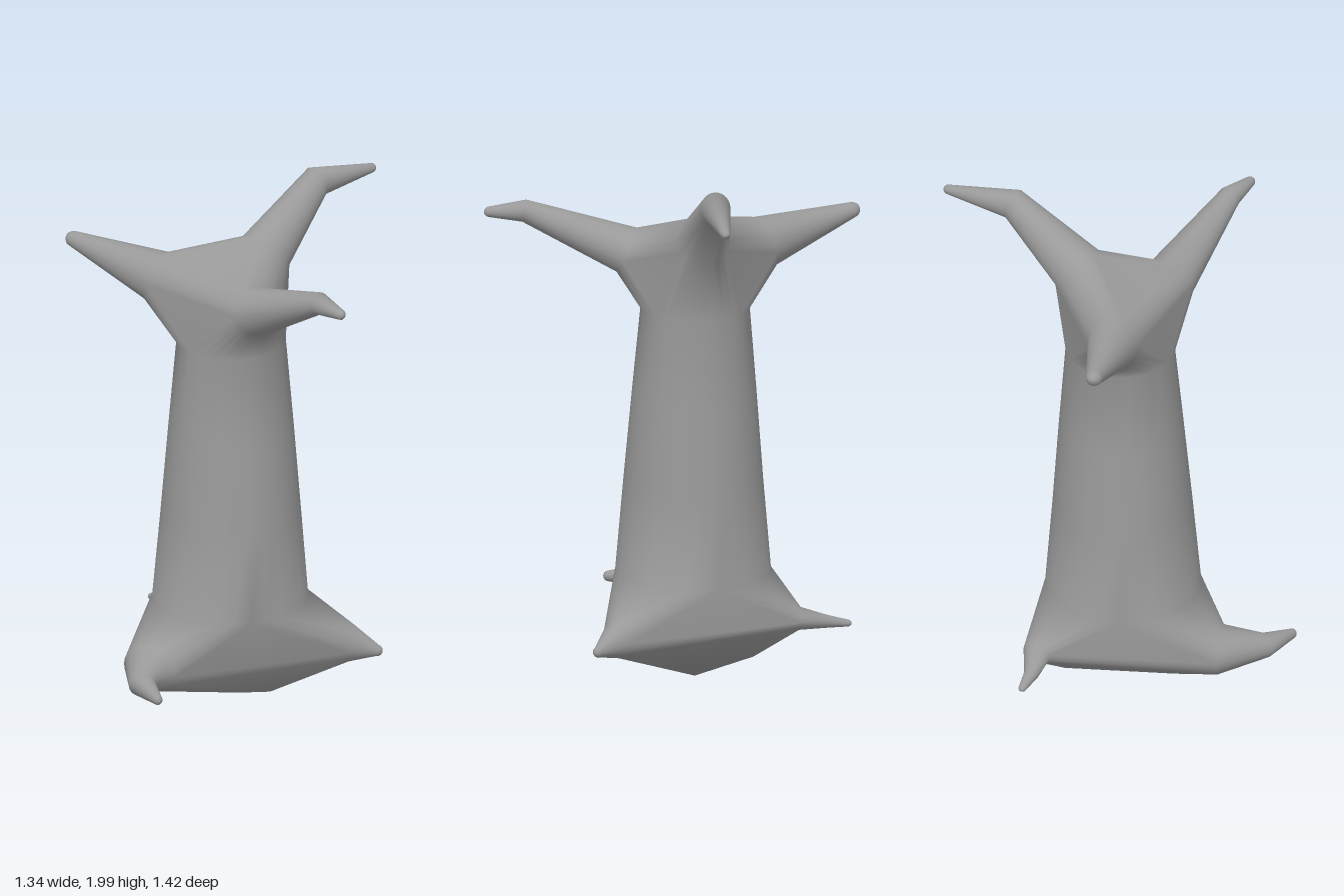
import * as THREE from 'three';
import { ConvexGeometry } from 'three/addons/geometries/ConvexGeometry.js';
import { mergeVertices } from 'three/addons/utils/BufferGeometryUtils.js';

const V = (x, y, z) => new THREE.Vector3(x, y, z);
const SIDES = 28;

// Elliptical ring about a centre, square to a direction
function makeRing(center, dir, w, h) {
  const u = V(0, 1, 0).cross(dir);
  if (u.length() < 1e-6) u.set(1, 0, 0);
  u.normalize();
  const v = dir.clone().cross(u);
  const points = Array.from({ length: SIDES }, (_, j) => {
    const a = j / SIDES * Math.PI * 2;
    return center.clone().addScaledVector(u, w * Math.cos(a)).addScaledVector(v, h * Math.sin(a));
  });
  return { center, dir, points };
}

// Triangles (as a list of corners) between successive rings
function loft(rings) {
  const tris = [];
  for (let i = 0; i < rings.length - 1; i++) {
    const a = rings[i].points, b = rings[i + 1].points;
    for (let j = 0; j < SIDES; j++) {
      const k = (j + 1) % SIDES;
      tris.push(a[j], a[k], b[k], a[j], b[k], b[j]);
    }
  }
  return tris;
}

// Hull joining several rings, left open where each ring continues into a limb
function junction(rings, extra) {
  const pos = new ConvexGeometry([...rings.flatMap(r => r.points), ...extra]).attributes.position;
  const tris = [];
  for (let i = 0; i < pos.count; i += 3) {
    const tri = [0, 1, 2].map(k => V(0, 0, 0).fromBufferAttribute(pos, i + k));
    const inRing = r => tri.every(p => Math.abs(p.clone().sub(r.center).dot(r.dir)) < 1e-5);
    if (!rings.some(inRing)) tris.push(...tri);
  }
  return tris;
}

// Rings of a tapering limb leaving a hub; stations are [x, y, z, half width, half height]
function limbRings(hub, stations) {
  const pts = [hub, ...stations.map(s => V(s[0], s[1], s[2]))];
  const dirs = pts.slice(1).map((p, i) => p.clone().sub(pts[i]).normalize());
  const rings = stations.map((s, i) => {
    const dir = dirs[i].clone().add(dirs[Math.min(i + 1, dirs.length - 1)]).normalize();
    return makeRing(pts[i + 1], dir, s[3], s[4]);
  });
  // rounded tip
  const end = dirs[dirs.length - 1], [w, h] = stations[stations.length - 1].slice(3);
  for (const a of [0.5, 1, 1.35, 1.54]) {
    const c = pts[pts.length - 1].clone().addScaledVector(end, Math.sin(a) * w);
    rings.push(makeRing(c, end, w * Math.cos(a), h * Math.cos(a)));
  }
  return rings;
}

// Trunk stations, bottom to top: [x, y, z, radius]
const TRUNK = [
  [-0.08, 0.41, -0.06, 0.291],
  [-0.077, 0.75, -0.06, 0.262],
  [-0.073, 1.1, -0.063, 0.233],
  [-0.07, 1.43, -0.066, 0.204],
];

const BRANCHES = {
  leftBranch: [
    [0.11, 1.735, -0.075, 0.1, 0.105],
    [0.375, 1.94, -0.09, 0.056, 0.06],
    [0.65, 1.92, -0.095, 0.018, 0.018],
  ],
  frontBranch: [
    [-0.15, 1.635, 0.18, 0.1, 0.09],
    [-0.182, 1.79, 0.56, 0.042, 0.042],
    [-0.193, 1.787, 0.69, 0.02, 0.02],
  ],
  backBranch: [
    [-0.195, 1.637, -0.34, 0.095, 0.1],
    [-0.308, 1.712, -0.68, 0.032, 0.03],
  ],
};

const ROOTS = {
  rightRoot: [
    [-0.49, 0.23, -0.05, 0.105, 0.09],
    [-0.62, 0.23, 0.06, 0.05, 0.045],
    [-0.658, 0.22, 0.19, 0.018, 0.02],
  ],
  frontLeftRoot: [
    [0.235, 0.235, 0.265, 0.065, 0.07],
    [0.297, 0.212, 0.34, 0.02, 0.022],
  ],
  backRoot: [
    [0.075, 0.25, -0.44, 0.056, 0.042],
    [0.04, 0.225, -0.54, 0.028, 0.025],
    [0.03, 0.212, -0.625, 0.015, 0.013],
  ],
};

// Points that round out the underside of the stump
const UNDERSIDE = [
  V(-0.03, 0.01, -0.06), V(-0.31, 0.083, -0.08), V(-0.04, 0.07, 0.12), V(0.05, 0.1, -0.27),
];

export function createModel() {
  const parts = {};
  const trunkRings = TRUNK.map(([x, y, z, r]) => makeRing(V(x, y, z), V(0, 1, 0), r, r));
  parts.trunk = loft(trunkRings);

  // Add a set of limbs and return the ring where each one begins
  const addLimbs = (limbs, hub) => Object.entries(limbs).map(([name, stations]) => {
    const rings = limbRings(hub, stations);
    parts[name] = loft(rings);
    return rings[0];
  });
  const branchStarts = addLimbs(BRANCHES, V(-0.07, 1.5, -0.07));
  const rootStarts = addLimbs(ROOTS, V(-0.07, 0.25, -0.06));
  parts.crown = junction([trunkRings[trunkRings.length - 1], ...branchStarts], []);
  parts.base = junction([trunkRings[0], ...rootStarts], UNDERSIDE);

  // Weld everything once so that normals run smoothly from part to part
  const soup = new THREE.BufferGeometry().setFromPoints(Object.values(parts).flat());
  const welded = mergeVertices(soup, 1e-4);
  welded.computeVertexNormals();
  const skin = welded.toNonIndexed();

  const group = new THREE.Group();
  group.name = 'treeStump';
  const material = new THREE.MeshStandardMaterial({ color: 0x999999 });
  let start = 0;
  for (const [name, corners] of Object.entries(parts)) {
    const geometry = new THREE.BufferGeometry();
    for (const key of ['position', 'normal']) {
      const values = skin.attributes[key].array.slice(start * 3, (start + corners.length) * 3);
      geometry.setAttribute(key, new THREE.BufferAttribute(values, 3));
    }
    start += corners.length;
    const mesh = new THREE.Mesh(mergeVertices(geometry), material);
    mesh.name = name;
    group.add(mesh);
  }
  return group;
}
